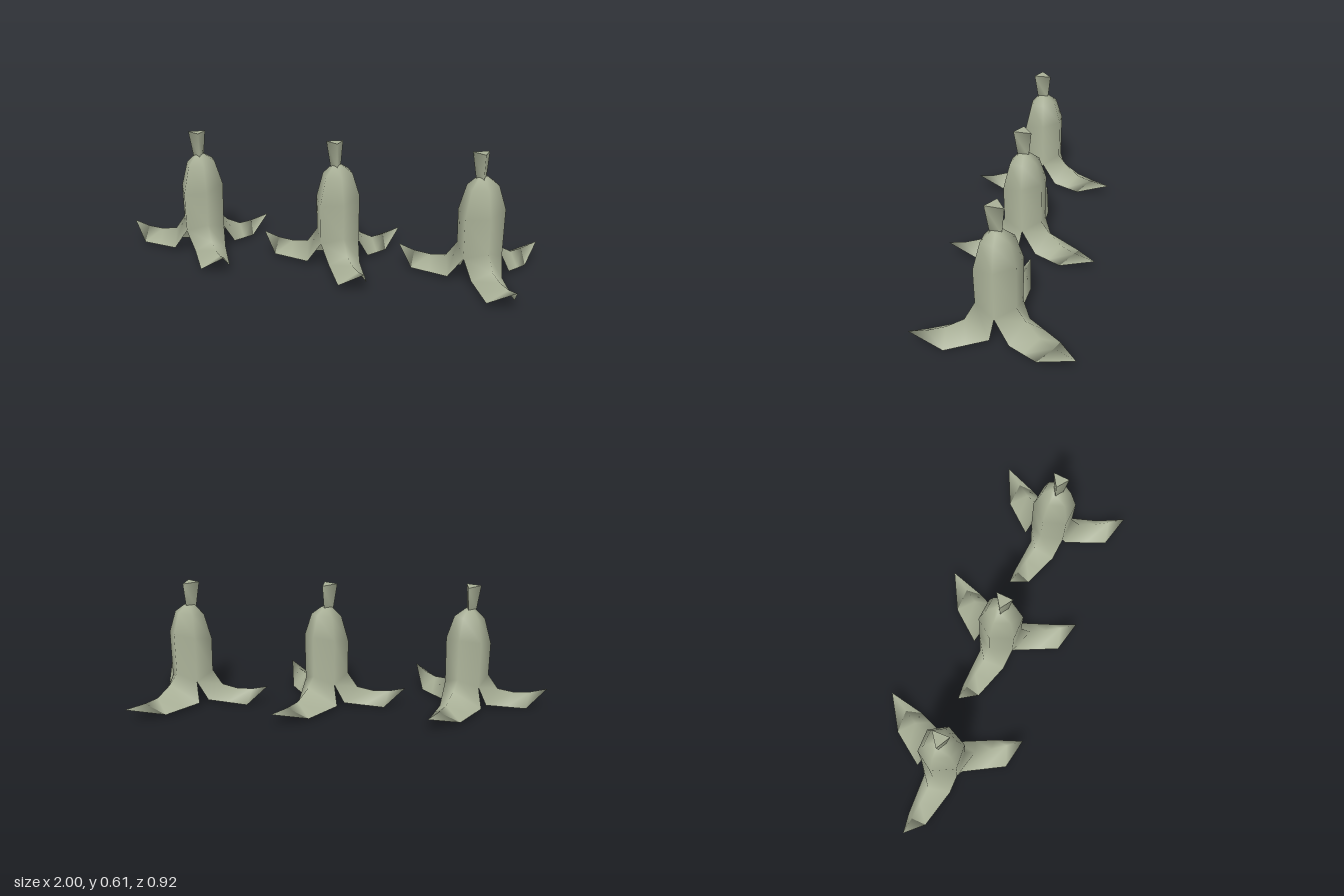
import * as THREE from 'three';

const skin = new THREE.MeshStandardMaterial({ color: 0xa8af96, side: THREE.DoubleSide });
skin.name = 'pale green skin';

// Angles of the six body corners; even ones lead into a flap, odd ones are notches
const ANGLES = [-65, -10, 50, 113, 180, 237].map(THREE.MathUtils.degToRad);

// Flaps in the same order: side points run from the notch outwards to the end corner
const FLAPS = [
  { corner: 0, tip: [0.177, 0.07, -0.395], before: [[-0.075, 0.02, -0.11], [0.025, 0.015, -0.28]],
    after: [[0.125, 0.02, -0.09], [0.168, 0.008, -0.223]], ridge: [0.115, 0.07, 0.065] },
  { corner: 2, tip: [0.26, 0.10, 0.297], before: [[0.118, 0.02, 0.0], [0.22, 0.002, 0.165]],
    after: [[0.0, 0.02, 0.098], [0.125, 0.015, 0.277]], ridge: [0.09, 0.075, 0.08] },
  { corner: 4, tip: [-0.395, 0.10, 0.0], before: [[-0.115, 0.02, 0.095], [-0.305, 0.015, 0.065]],
    after: [[-0.10, 0.02, -0.058], [-0.295, 0.003, -0.035]], ridge: [0.09, 0.075, 0.08] },
];

const vec = (p) => new THREE.Vector3(...p);

// Collects rows of points and joins neighbouring rows with triangles
function makeSurface() {
  const positions = [], index = [];
  const add = (v) => positions.push(v.x, v.y, v.z) / 3 - 1;
  return {
    row: (points) => points.map(add),
    join(low, up, closed = false) {
      const n = low.length;
      for (let i = 0; i < (closed ? n : n - 1); i++) {
        const j = (i + 1) % n;
        index.push(low[i], up[i], up[j], low[i], up[j], low[j]);
      }
    },
    fan(ring, point, closed = false) {
      const c = add(point), n = ring.length;
      for (let i = 0; i < (closed ? n : n - 1); i++) index.push(ring[i], ring[(i + 1) % n], c);
    },
    // Fan turned to face the other way
    fanBack(ring, point, closed = false) {
      this.fan([...ring].reverse(), point, closed);
    },
    mesh(name) {
      const g = new THREE.BufferGeometry();
      g.setAttribute('position', new THREE.Float32BufferAttribute(positions, 3));
      g.setIndex(index);
      g.computeVertexNormals();
      const m = new THREE.Mesh(g, skin);
      m.name = name;
      return m;
    },
  };
}

function bodyRing(r, y, tilt = 0) {
  return ANGLES.map((a) => {
    const x = r * Math.cos(a), z = r * Math.sin(a);
    return new THREE.Vector3(x, y + tilt * (0.1 * x - 0.2 * z), z);
  });
}

const baseRing = () => bodyRing(0.106, 0.16).map((p, i) => {
  if (i % 2) p.y = 0.122;
  return p;
});

// Six-sided body that opens into three drooping flaps
function makePeel() {
  const s = makeSurface();
  const base = s.row(baseRing());
  const rings = [base, s.row(bodyRing(0.109, 0.335, 1)), s.row(bodyRing(0.074, 0.452, 0.6)),
    s.row(bodyRing(0.028, 0.492))];
  for (let i = 1; i < rings.length; i++) s.join(rings[i - 1], rings[i], true);
  s.fanBack(rings[3], new THREE.Vector3(0, 0.494, 0), true);

  for (const f of FLAPS) {
    const k = f.corner;
    const tip = vec(f.tip);
    const dir = new THREE.Vector3(tip.x, 0, tip.z).normalize();
    const [b0, b1] = f.before.map(vec), [a0, a1] = f.after.map(vec);
    const ridge = [0.155, 0.235, 0.315].map((r, i) => dir.clone().multiplyScalar(r).setY(f.ridge[i]));
    const sides = [[b0, a0], [b0.clone().lerp(b1, 0.5), a0.clone().lerp(a1, 0.5)], [b1, a1]];
    let inner = [base[(k + 5) % 6], base[k], base[k + 1]];
    sides.forEach(([b, a], i) => {
      const outer = s.row([b, ridge[i], a]);
      s.join(outer, inner);
      inner = outer;
    });
    s.fanBack(inner, tip);
  }
  return s.mesh('peel');
}

// Underside closing the body
function makeFloor() {
  const s = makeSurface();
  s.fan(s.row(baseRing()), new THREE.Vector3(0, 0.13, 0), true);
  return s.mesh('bodyFloor');
}

// Three-sided stem flaring to a cut top
function makeStem() {
  const top = [[0.012, 0.604, -0.04], [0.02, 0.607, 0.045], [-0.05, 0.607, 0.015]].map(vec);
  const foot = top.map((p) => new THREE.Vector3(p.x * 0.6, 0.48, p.z * 0.6));
  const group = new THREE.Group();
  group.name = 'stem';
  const wall = makeSurface();
  wall.join(wall.row(foot), wall.row(top), true);
  const cap = makeSurface();
  cap.fanBack(cap.row(top), new THREE.Vector3(-0.006, 0.606, 0.007), true);
  group.add(wall.mesh('stemWall'), cap.mesh('stemTop'));
  return group;
}

export function createModel() {
  const model = new THREE.Group();
  model.name = 'fruitPeels';
  // x, z and turn in degrees of each peel
  const places = [[-0.61, 0.2, 7], [0.07, 0.063, 2.5], [0.735, -0.065, 0]];
  places.forEach(([x, z, turn], i) => {
    const peel = new THREE.Group();
    peel.name = 'fruitPeel' + (i + 1);
    peel.add(makePeel(), makeFloor(), makeStem());
    peel.position.set(x, 0, z);
    peel.rotation.y = THREE.MathUtils.degToRad(turn);
    model.add(peel);
  });
  return model;
}
